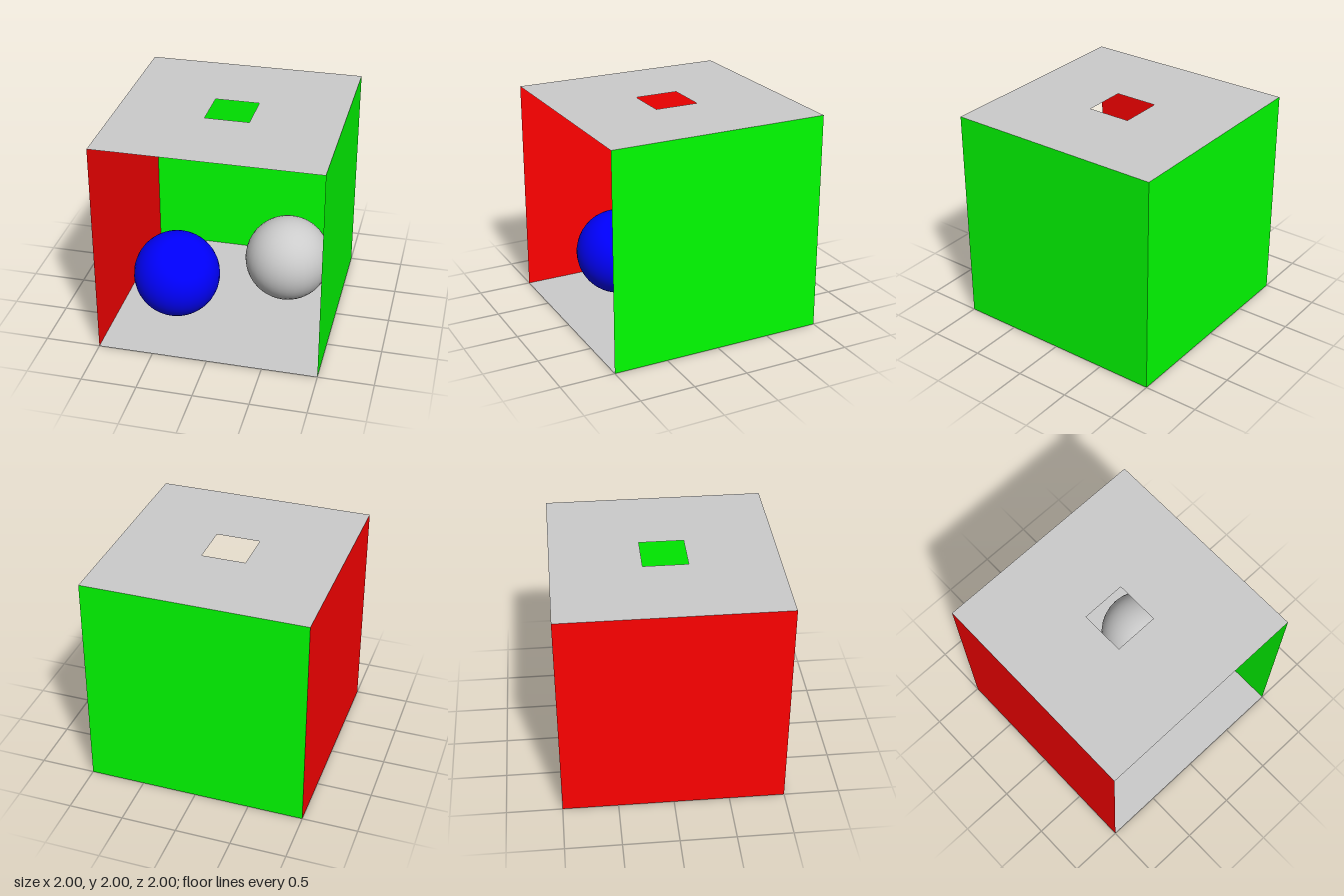
import * as THREE from 'three';

const paint = (color) => new THREE.MeshStandardMaterial({ color, side: THREE.DoubleSide });

export function createModel() {
  const model = new THREE.Group();
  const grey = paint(0xcccccc);
  const green = paint(0x00ff00);
  const red = paint(0xff0000);
  const blue = paint(0x0000ff);

  const add = (name, geometry, material, position, rotation = [0, 0, 0]) => {
    const mesh = new THREE.Mesh(geometry, material);
    mesh.name = name;
    mesh.position.set(...position);
    mesh.rotation.set(...rotation);
    model.add(mesh);
  };

  // Room: thin panels, open at the front
  const panel = new THREE.PlaneGeometry(2, 2);
  const quarter = Math.PI / 2;
  add('floor', panel, grey, [0, 0, 0], [-quarter, 0, 0]);
  add('backWall', panel, green, [0, 1, -1]);
  add('leftWall', panel, green, [1, 1, 0], [0, -quarter, 0]);
  add('rightWall', panel, red, [-1, 1, 0], [0, quarter, 0]);

  // Ceiling with a square skylight
  const square = (h) => [[-h, -h], [h, -h], [h, h], [-h, h]].map(([x, y]) => new THREE.Vector2(x, y));
  const ceiling = new THREE.Shape(square(1));
  ceiling.holes.push(new THREE.Path(square(0.2).reverse()));
  add('ceiling', new THREE.ShapeGeometry(ceiling), grey, [0, 2, 0], [-quarter, 0, 0]);

  // Two balls near the floor
  const ball = new THREE.SphereGeometry(0.4, 32, 24);
  add('blueBall', ball, blue, [-0.46, 0.413, 0.28]);
  add('greyBall', ball, grey, [0.493, 0.428, -0.2]);

  return model;
}
